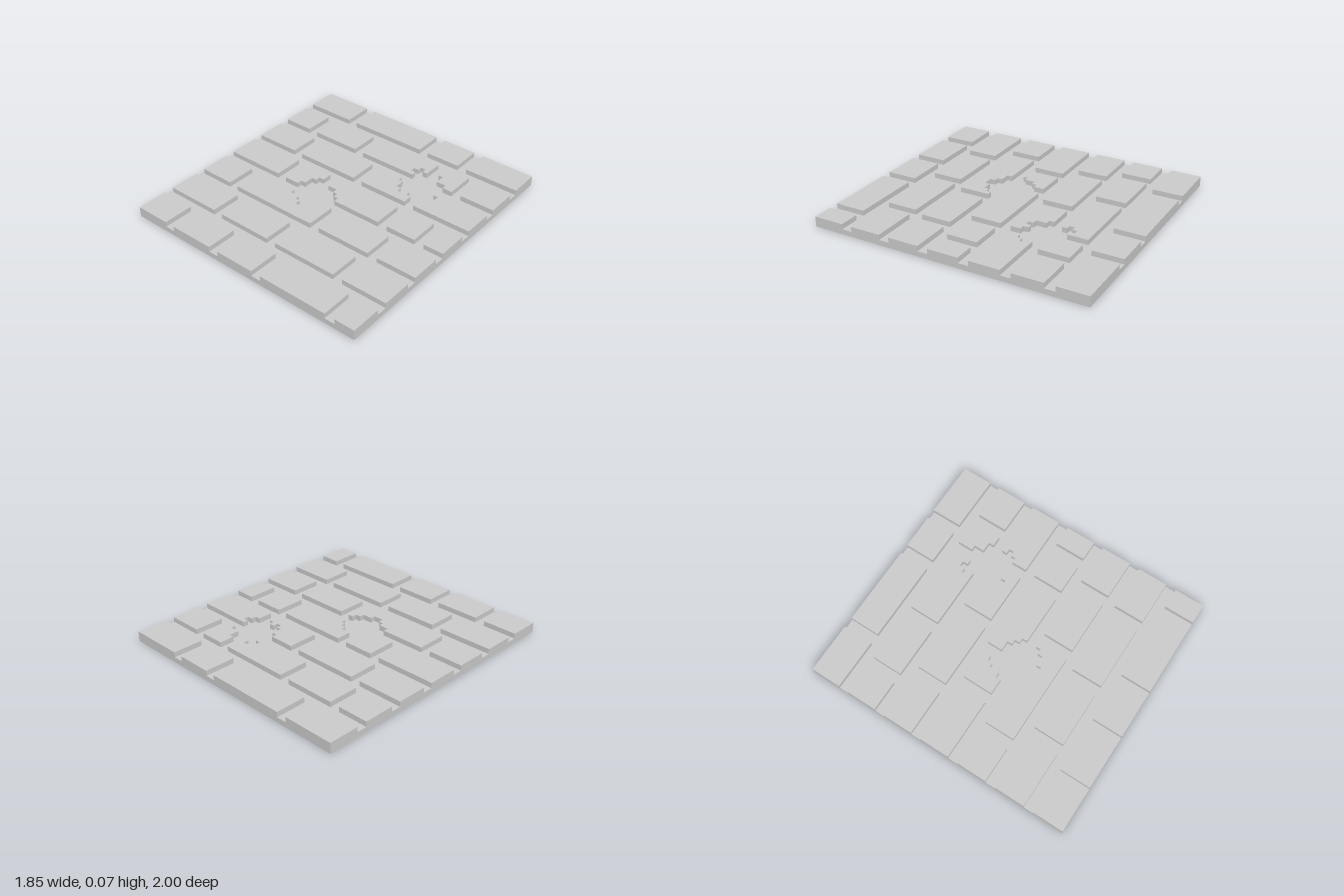
import * as THREE from 'three';

// Everything sits on a square grid: 50 cells across, 54 cells deep, 2 cells high.
const CELL = 1 / 27;
const COLS = 50, ROWS = 54;
const BRICK_DEPTH = 6, JOINT = 2;

const material = new THREE.MeshStandardMaterial({ color: 0xcccccc, flatShading: true });

// Whole bricks of each course, back to front, as [start, end] columns.
const courses = [
  [[0, 10], [12, 28], [30, 37], [39, 50]],
  [[0, 6], [8, 18], [43, 50]],
  [[0, 9], [11, 24]],
  [[0, 12], [38, 44], [46, 50]],
  [[0, 7], [29, 40], [42, 50]],
  [[0, 11], [13, 24], [26, 39], [41, 50]],
  [[0, 7], [9, 18], [20, 28], [30, 44], [46, 50]],
];

// Broken bricks around the two holes: stepped outlines as alternating x and z lines.
const brokenBricks = [
  [20, 8, 34, 12, 33, 11, 32, 12, 31, 13, 32, 14],
  [36, 8, 41, 14, 39, 13, 37, 11],
  [26, 16, 31, 17, 32, 19, 33, 20, 34, 19, 35, 20, 36, 22],
  [39, 16, 50, 22, 38, 19, 39, 18, 40, 17],
  [14, 24, 20, 26, 19, 27, 18, 29, 17, 30],
  [22, 24, 36, 30, 26, 29, 25, 28, 24, 27],
  [9, 32, 18, 33, 20, 34, 21, 35, 23, 34, 25, 33, 26, 32, 27, 38],
];

// Raises a right-angled outline (alternating x and z lines) one cell above the slab.
function makeBrick(name, lines) {
  const points = lines.map((value, i) => {
    const next = lines[(i + 1) % lines.length];
    const [x, z] = i % 2 === 0 ? [value, next] : [next, value];
    return new THREE.Vector2((x - COLS / 2) * CELL, (z - ROWS / 2) * CELL);
  });
  const geometry = new THREE.ExtrudeGeometry(new THREE.Shape(points), { depth: CELL, bevelEnabled: false });
  geometry.rotateX(Math.PI / 2);
  geometry.translate(0, 2 * CELL, 0);
  const mesh = new THREE.Mesh(geometry, material);
  mesh.name = name;
  return mesh;
}

export function createModel() {
  const model = new THREE.Group();
  model.name = 'brickFloorTile';

  // Mortar slab
  const slab = new THREE.Mesh(new THREE.BoxGeometry(COLS * CELL, CELL, ROWS * CELL), material);
  slab.name = 'mortarSlab';
  slab.position.y = CELL / 2;
  model.add(slab);

  // Whole bricks
  courses.forEach((spans, row) => {
    const course = new THREE.Group();
    course.name = `course${row + 1}`;
    const z = row * (BRICK_DEPTH + JOINT);
    spans.forEach(([start, end]) => course.add(makeBrick('brick', [start, z, end, z + BRICK_DEPTH])));
    model.add(course);
  });

  // Broken bricks
  const broken = new THREE.Group();
  broken.name = 'brokenBricks';
  brokenBricks.forEach((lines) => broken.add(makeBrick('brokenBrick', lines)));
  model.add(broken);

  return model;
}
